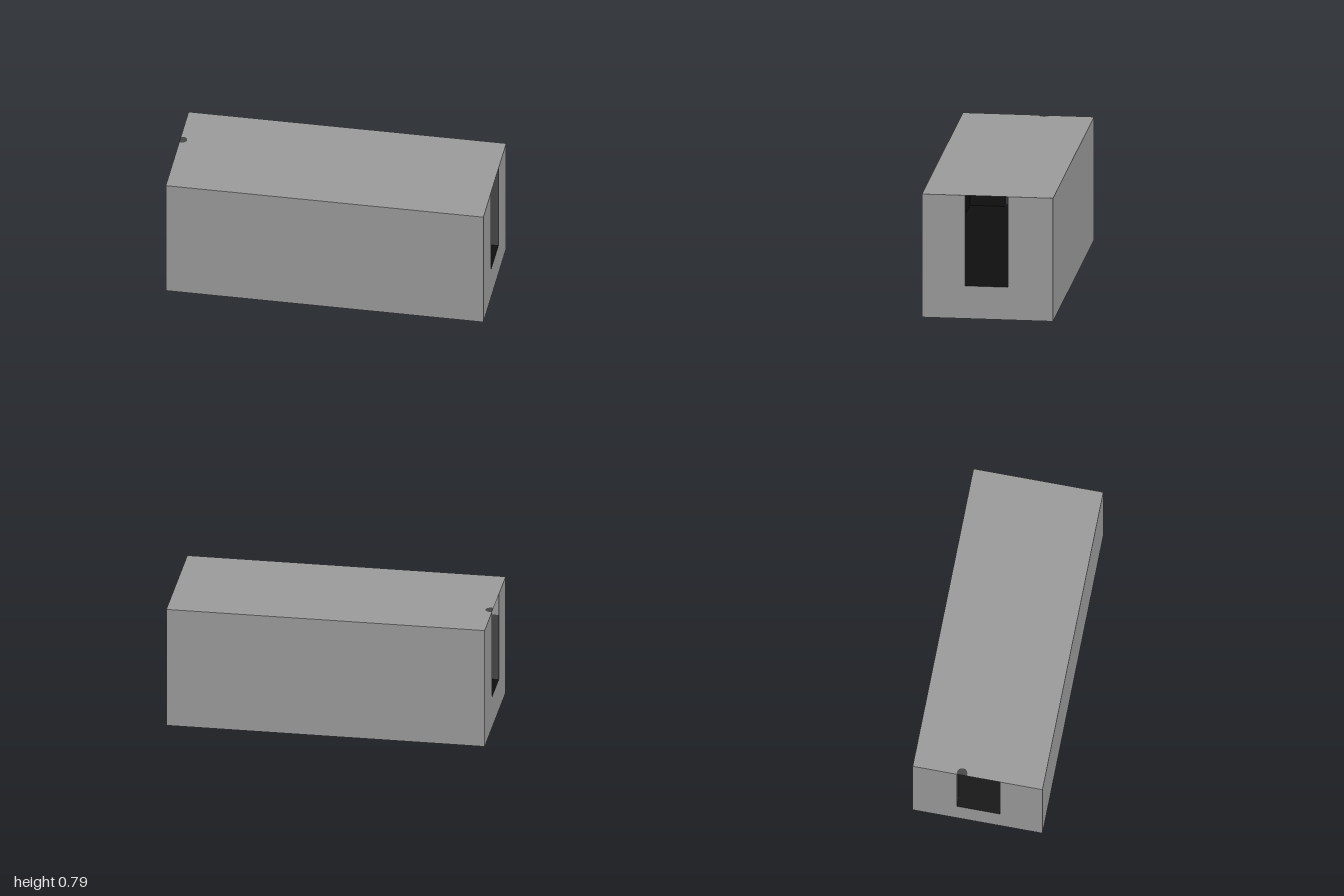
import * as THREE from 'three';

const H = 0.79, FLOOR = 0.21, D = 0.41, T = 0.05; // height, floor level, half depth, wall thickness
const DOOR_BACK = -0.13, DOOR_FRONT = 0.14;

export function createModel() {
  const model = new THREE.Group();
  const concrete = new THREE.MeshStandardMaterial({ color: 0x999999, side: THREE.DoubleSide });
  concrete.name = 'concreteGrey';
  const dark = new THREE.MeshStandardMaterial({ color: 0x454545, side: THREE.DoubleSide });
  dark.name = 'darkGrey';
  const black = new THREE.MeshStandardMaterial({ color: 0x0f0f0f, side: THREE.DoubleSide });
  black.name = 'interiorBlack';

  const add = (name, geometry, material, [x, y, z], rx = 0, ry = 0) => {
    const mesh = new THREE.Mesh(geometry, material);
    mesh.name = name;
    mesh.position.set(x, y, z);
    mesh.rotation.set(rx, ry, 0);
    model.add(mesh);
  };
  const panel = (name, w, h, material, position, rx, ry) =>
    add(name, new THREE.PlaneGeometry(w, h), material, position, rx, ry);

  // End wall with a doorway open up to the roof; s = sign of z along the shape's x
  const endWall = (s, half, bottom) => {
    const p = [[-half, bottom], [half, bottom], [half, H], [DOOR_FRONT, H],
      [DOOR_FRONT, FLOOR], [DOOR_BACK, FLOOR], [DOOR_BACK, H], [-half, H]];
    return new THREE.ShapeGeometry(new THREE.Shape(p.map(([z, y]) => new THREE.Vector2(s * z, y))));
  };

  // Outer shell
  panel('frontWall', 2, H, concrete, [0, H / 2, D]);
  panel('backWall', 2, H, concrete, [0, H / 2, -D], 0, Math.PI);
  panel('roof', 2, 2 * D, concrete, [0, H, 0], -Math.PI / 2);
  panel('underside', 2, 2 * D, concrete, [0, 0, 0], Math.PI / 2);

  // Interior: floor and long walls
  const roomH = H - FLOOR, midY = (H + FLOOR) / 2;
  panel('floor', 2 - 2 * T, 2 * (D - T), black, [0, FLOOR, 0], -Math.PI / 2);
  panel('innerFrontWall', 2 - 2 * T, roomH, black, [0, midY, D - T], 0, Math.PI);
  panel('innerBackWall', 2 - 2 * T, roomH, black, [0, midY, T - D]);

  // Both ends: outer and inner faces, sill and jambs
  for (const s of [1, -1]) {
    const mid = s * (1 - T / 2);
    add('endWall', endWall(-s, D, 0), concrete, [s, 0, 0], 0, s * Math.PI / 2);
    add('innerEndWall', endWall(s, D - T, FLOOR), black, [s * (1 - T), 0, 0], 0, -s * Math.PI / 2);
    panel('doorSill', T, DOOR_FRONT - DOOR_BACK, black,
      [mid, FLOOR, (DOOR_FRONT + DOOR_BACK) / 2], -Math.PI / 2);
    panel('backJamb', T, roomH, dark, [mid, midY, DOOR_BACK]);
    const top = s > 0 ? H : 0.65; // one front jamb has a pale upper part
    panel('frontJamb', T, top - FLOOR, dark, [mid, (top + FLOOR) / 2, DOOR_FRONT], 0, Math.PI);
    if (top < H) panel('paleJambTop', T, H - top, concrete, [mid, (H + top) / 2, DOOR_FRONT], 0, Math.PI);
  }

  // Small dark spot on the roof, cut off by its edge
  const spot = new THREE.Shape();
  spot.absarc(-0.987, 0.1, 0.032, -1.99, 1.99, false);
  add('roofSpot', new THREE.ShapeGeometry(spot, 16), dark, [0, H + 0.002, 0], -Math.PI / 2);

  return model;
}
